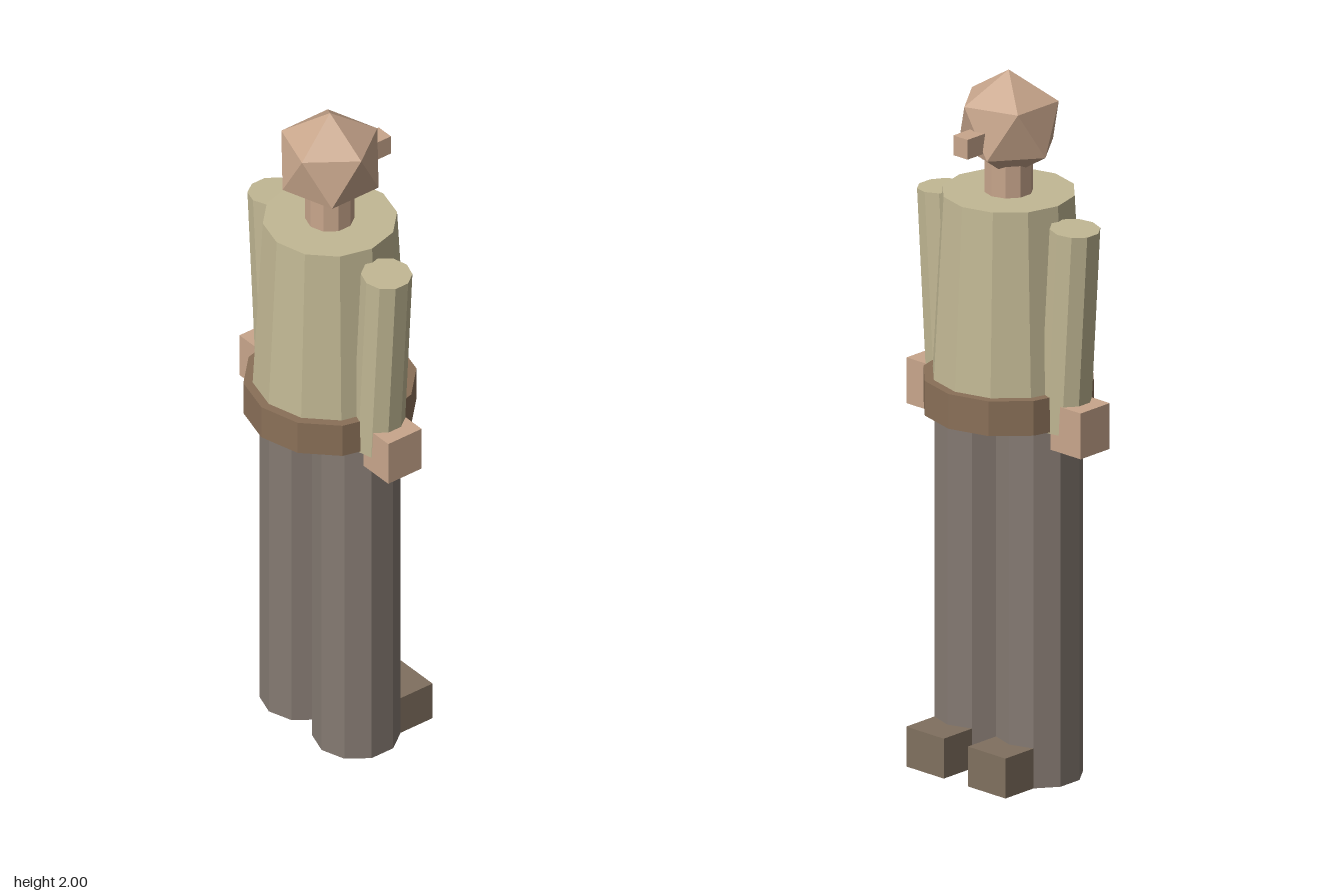
import * as THREE from 'three';

const paint = (color) => new THREE.MeshStandardMaterial({ color, flatShading: true });

export function createModel() {
  const skin = paint(0xc8a68c);
  const shirt = paint(0xc2b894);
  const trousers = paint(0x857a72);
  const leather = paint(0x8a7058);
  const boots = paint(0x80705f);

  const model = new THREE.Group();
  model.name = 'figure';

  function add(name, geometry, material, x, y, z) {
    const mesh = new THREE.Mesh(geometry, material);
    mesh.name = name;
    mesh.position.set(x, y, z);
    model.add(mesh);
    return mesh;
  }

  // Cylinder standing between two heights
  function column(name, rTop, rBottom, y0, y1, sides, material, x = 0) {
    const geometry = new THREE.CylinderGeometry(rTop, rBottom, y1 - y0, sides);
    return add(name, geometry, material, x, (y0 + y1) / 2, 0);
  }

  // Head: icosahedron turned so that one corner points straight up
  const head = new THREE.IcosahedronGeometry(0.153, 0);
  head.rotateZ(-Math.atan(2 / (1 + Math.sqrt(5))));
  add('head', head, skin, 0, 1.847, 0);
  add('nose', new THREE.BoxGeometry(0.053, 0.057, 0.09), skin, 0, 1.825, -0.145);
  column('neck', 0.067, 0.067, 1.62, 1.76, 10, skin);

  // Tapered torso and belt
  column('torso', 0.184, 0.213, 1.1, 1.652, 12, shirt);
  column('belt', 0.237, 0.237, 1.027, 1.127, 12, leather);

  for (const [side, s] of [['left', 1], ['right', -1]]) {
    column(side + 'Leg', 0.12, 0.12, 0, 1.04, 10, trousers, s * 0.115);
    add(side + 'Foot', new THREE.BoxGeometry(0.14, 0.115, 0.14), boots, s * 0.115, 0.0575, -0.138);

    // Arm leans outward towards the shoulder
    const arm = column(side + 'Arm', 0.07, 0.07, 1.022, 1.604, 10, shirt, s * 0.229);
    arm.rotation.z = -s * 0.063;
    add(side + 'Hand', new THREE.BoxGeometry(0.115, 0.132, 0.115), skin, s * 0.267, 1.039, -0.002);
  }

  return model;
}
